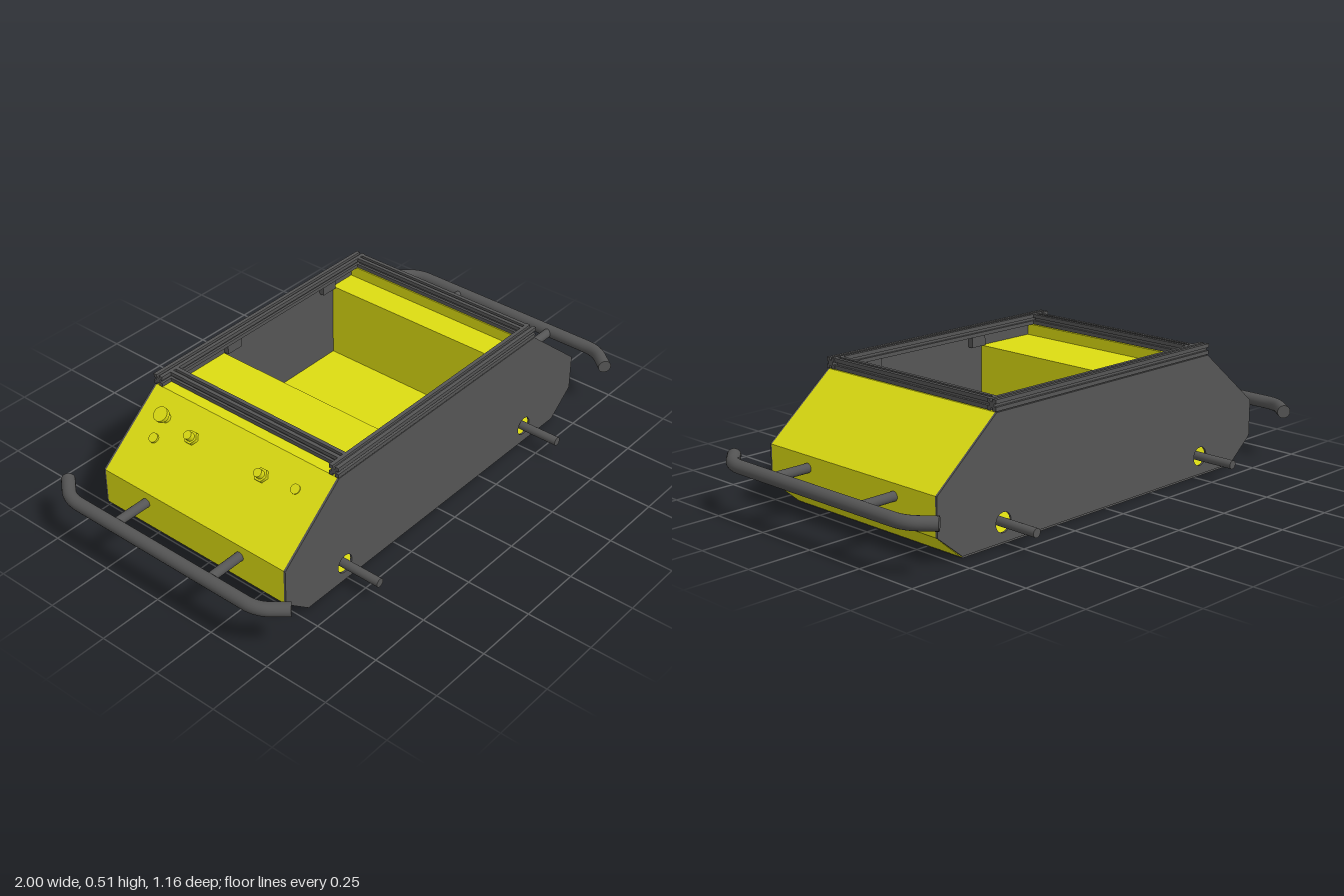
import * as THREE from 'three';

const yellow = new THREE.MeshStandardMaterial({ color: 0xdcdc12 });
const grey = new THREE.MeshStandardMaterial({ color: 0x555555 });

const toVecs = (pts) => pts.map(([x, y]) => new THREE.Vector2(x, y));

// Inner outline of a counter-clockwise polygon, mitred at a wall thickness t
function inset(pts, t) {
  return pts.map((p, i) => {
    const a = pts[(i + pts.length - 1) % pts.length], b = pts[(i + 1) % pts.length];
    const n1 = new THREE.Vector2(a.y - p.y, p.x - a.x).normalize();
    const n2 = new THREE.Vector2(p.y - b.y, b.x - p.x).normalize();
    const m = n1.clone().add(n2);
    return p.clone().addScaledVector(m, t / (1 + n1.dot(n2)));
  });
}

// Extrusion along z, centred on z = 0
function prism(shape, length) {
  const g = new THREE.ExtrudeGeometry(shape, { depth: length, bevelEnabled: false, curveSegments: 16 });
  return g.translate(0, 0, -length / 2);
}

// Square slotted bar section
function barShape(s) {
  const h = s / 2, w = s * 0.14, d = s * 0.24, pts = [];
  for (let k = 0; k < 4; k++) {
    const c = [0, 1, 0, -1][(k + 1) % 4], n = [0, 1, 0, -1][k];
    for (const [x, y] of [[-h, -h], [-w, -h], [-w, -h + d], [w, -h + d], [w, -h]]) {
      pts.push([x * c - y * n, x * n + y * c]);
    }
  }
  return new THREE.Shape(toVecs(pts));
}

export function createModel() {
  const model = new THREE.Group();
  const add = (name, geometry, material, x = 0, y = 0, z = 0, parent = model) => {
    const mesh = new THREE.Mesh(geometry, material);
    mesh.name = name;
    mesh.position.set(x, y, z);
    parent.add(mesh);
    return mesh;
  };

  // Folded sheet body with sloped ends, two decks and a sunken bay
  const outline = toVecs([
    [-0.71, 0.006], [0.71, 0.006], [0.82, 0.1], [0.82, 0.24], [0.55, 0.463], [0.51, 0.463],
    [0.51, 0.42], [0.4, 0.42], [0.4, 0.12], [-0.21, 0.12], [-0.21, 0.42], [-0.47, 0.42],
    [-0.47, 0.463], [-0.55, 0.463], [-0.82, 0.24], [-0.82, 0.1],
  ]);
  const body = new THREE.Shape(outline);
  body.holes.push(new THREE.Path(inset(outline, 0.006).reverse()));
  add('bodyShell', prism(body, 0.834), yellow);
  add('basePlate', new THREE.BoxGeometry(1.41, 0.006, 0.834), grey, 0, 0.003, 0);

  // Side plates with axle holes
  const plate = new THREE.Shape(toVecs([
    [-0.71, 0.01], [0.71, 0.01], [0.82, 0.1], [0.82, 0.24],
    [0.55, 0.463], [-0.55, 0.463], [-0.82, 0.24], [-0.82, 0.1],
  ]));
  for (const x of [-0.52, 0.52]) {
    plate.holes.push(new THREE.Path().absarc(x, 0.08, 0.036, 0, Math.PI * 2, true));
  }
  for (const s of [-1, 1]) add('sidePlate', prism(plate, 0.008), grey, 0, 0, s * 0.421);

  // Slotted top frame and its brackets
  const bar = barShape(0.04);
  for (const s of [-1, 1]) {
    add('sideRail', prism(bar, 1.108).rotateY(Math.PI / 2), grey, 0, 0.486, s * 0.405);
    for (const x of [-0.175, 0.355]) {
      add('railBracket', new THREE.BoxGeometry(0.07, 0.045, 0.02), grey, x, 0.446, s * 0.405);
    }
  }
  for (const x of [-0.49, 0.531]) add('crossBar', prism(bar, 0.77), grey, x, 0.486, 0);

  // Axles
  for (const x of [-0.52, 0.52]) {
    add('axle', new THREE.CylinderGeometry(0.0165, 0.0165, 1.156, 24).rotateX(Math.PI / 2), grey, x, 0.08, 0);
  }

  // Bent tube bumpers on two stubs at each end
  const v = (x, z) => new THREE.Vector3(x, 0, z);
  const path = new THREE.CurvePath();
  path.add(new THREE.LineCurve3(v(0.903, -0.525), v(0.945, -0.475)));
  path.add(new THREE.QuadraticBezierCurve3(v(0.945, -0.475), v(0.975, -0.44), v(0.975, -0.39)));
  path.add(new THREE.LineCurve3(v(0.975, -0.39), v(0.975, 0.39)));
  path.add(new THREE.QuadraticBezierCurve3(v(0.975, 0.39), v(0.975, 0.44), v(0.945, 0.475)));
  path.add(new THREE.LineCurve3(v(0.945, 0.475), v(0.903, 0.525)));
  for (const angle of [0, Math.PI]) {
    const bumper = new THREE.Group();
    bumper.name = 'bumper';
    bumper.position.y = 0.195;
    bumper.rotation.y = angle;
    model.add(bumper);
    add('bumperTube', new THREE.TubeGeometry(path, 96, 0.025, 20), grey, 0, 0, 0, bumper);
    for (const s of [-1, 1]) {
      const cap = add('tubeCap', new THREE.CircleGeometry(0.025, 20), grey, 0.903, 0, s * 0.525, bumper);
      cap.rotation.y = Math.atan2(-0.042, s * 0.05);
      add('bumperStub', new THREE.CylinderGeometry(0.0175, 0.0175, 0.15, 20).rotateZ(Math.PI / 2),
        grey, 0.89, 0, s * 0.22, bumper);
    }
  }

  // Control panel fittings standing square to the sloped end
  const slope = Math.atan2(0.223, 0.27);
  const fitting = (name, x, z) => {
    const g = new THREE.Group();
    g.name = name;
    g.position.set(x, 0.463 + (x + 0.55) * (0.223 / 0.27), z);
    g.rotation.z = slope;
    model.add(g);
    return (r, h, y, sides) => add(name + 'Part', new THREE.CylinderGeometry(r, r, h, sides), yellow, 0, y, 0, g);
  };
  const button = fitting('pushButton', -0.62, -0.305);
  button(0.018, 0.03, 0.015, 24);
  button(0.028, 0.016, 0.034, 24);
  for (const z of [-0.165, 0.16]) {
    const gland = fitting('cableGland', -0.635, z);
    gland(0.026, 0.014, 0.007, 6);
    gland(0.016, 0.036, 0.018, 20);
  }
  fitting('indicator', -0.683, -0.305)(0.018, 0.01, 0.004, 20);
  fitting('socket', -0.625, 0.3)(0.018, 0.006, 0.001, 20);

  return model;
}
